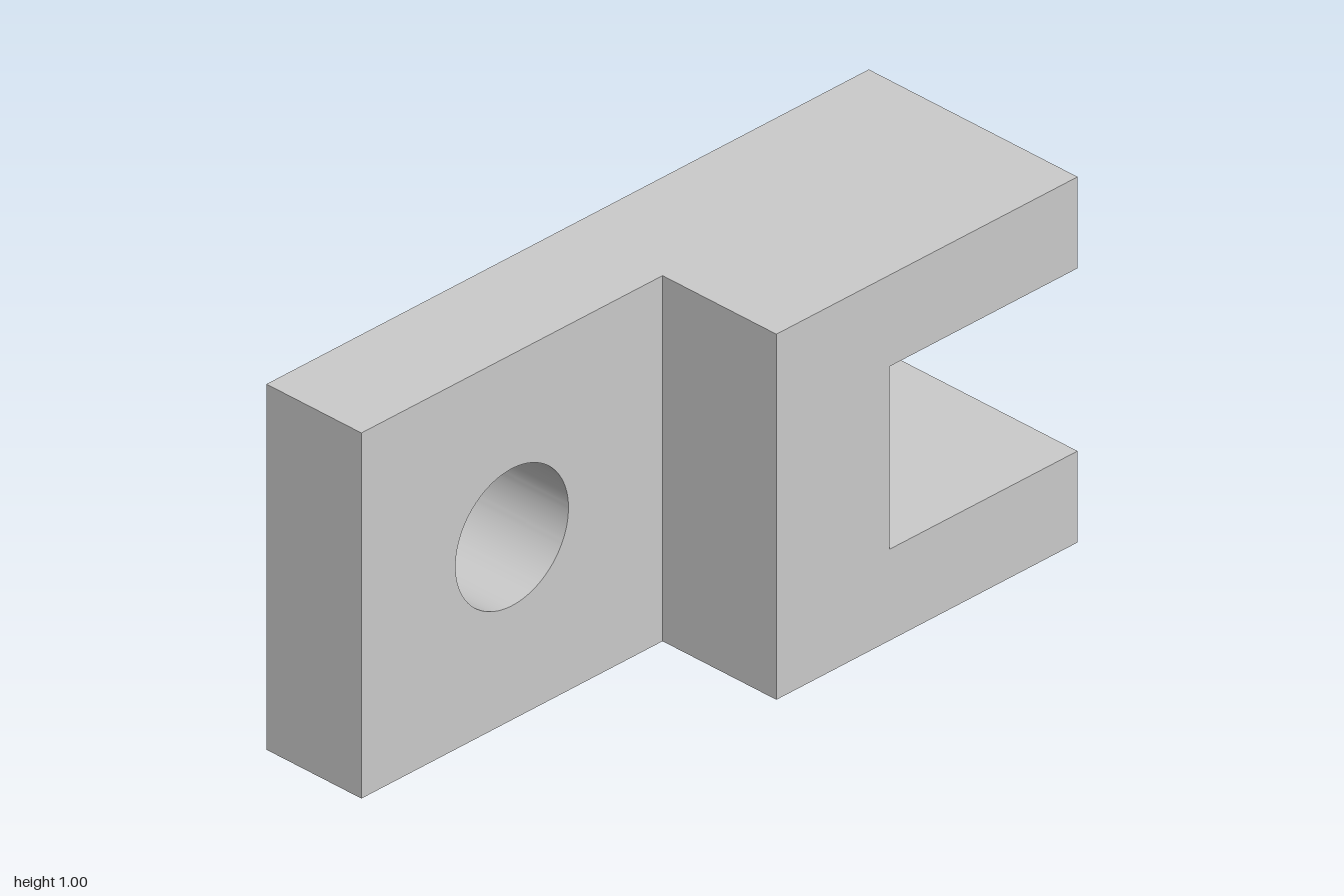
import * as THREE from 'three';
import { mergeGeometries, toCreasedNormals } from 'three/addons/utils/BufferGeometryUtils.js';

const BACK = -0.344, STEP = -0.031, FRONT = 0.344;
const NOTCH_X = 0.375, NOTCH_LOW = 0.25, NOTCH_HIGH = 0.75;

const polygon = (points) => new THREE.Shape(points.map(([x, y]) => new THREE.Vector2(x, y)));

// Outline from x = left to the open end of the fork
const forkOutline = (left) => polygon([
  [left, 0], [1, 0], [1, NOTCH_LOW], [NOTCH_X, NOTCH_LOW],
  [NOTCH_X, NOTCH_HIGH], [1, NOTCH_HIGH], [1, 1], [left, 1],
]);

// Round through hole in the thin half
function drill(shape) {
  shape.holes.push(new THREE.Path().absarc(-0.5, 0.5, 0.1875, 0, Math.PI * 2, true));
  return shape;
}

// Extruded layer that keeps only one of its end caps, so no faces lie inside the solid
function layer(shape, z0, z1, keptCap) {
  const geo = new THREE.ExtrudeGeometry(shape, { depth: z1 - z0, bevelEnabled: false, curveSegments: 64 });
  const half = geo.groups[0].count / 2; // caps come first: back, then front
  const drop = keptCap === 'back' ? half : 0;
  for (const name of Object.keys(geo.attributes)) {
    const { array, itemSize } = geo.attributes[name];
    const kept = [...array.slice(0, drop * itemSize), ...array.slice((drop + half) * itemSize)];
    geo.setAttribute(name, new THREE.Float32BufferAttribute(kept, itemSize));
  }
  geo.clearGroups();
  return geo.translate(0, 0, z0);
}

export function createModel() {
  const model = new THREE.Group();
  model.name = 'forkedBracket';

  // Full-length back plate, thick fork block, and the exposed front of the thin half
  const plate = layer(drill(forkOutline(-1)), BACK, STEP, 'back');
  const block = layer(forkOutline(0), STEP, FRONT, 'front');
  const tongueFace = new THREE.ShapeGeometry(
    drill(polygon([[-1, 0], [0, 0], [0, 1], [-1, 1]])), 64,
  ).toNonIndexed().translate(0, 0, STEP);

  const body = new THREE.Mesh(
    toCreasedNormals(mergeGeometries([plate, block, tongueFace]), Math.PI / 6),
    new THREE.MeshStandardMaterial({ color: 0xcccccc }),
  );
  body.name = 'bracketBody';
  model.add(body);
  return model;
}
